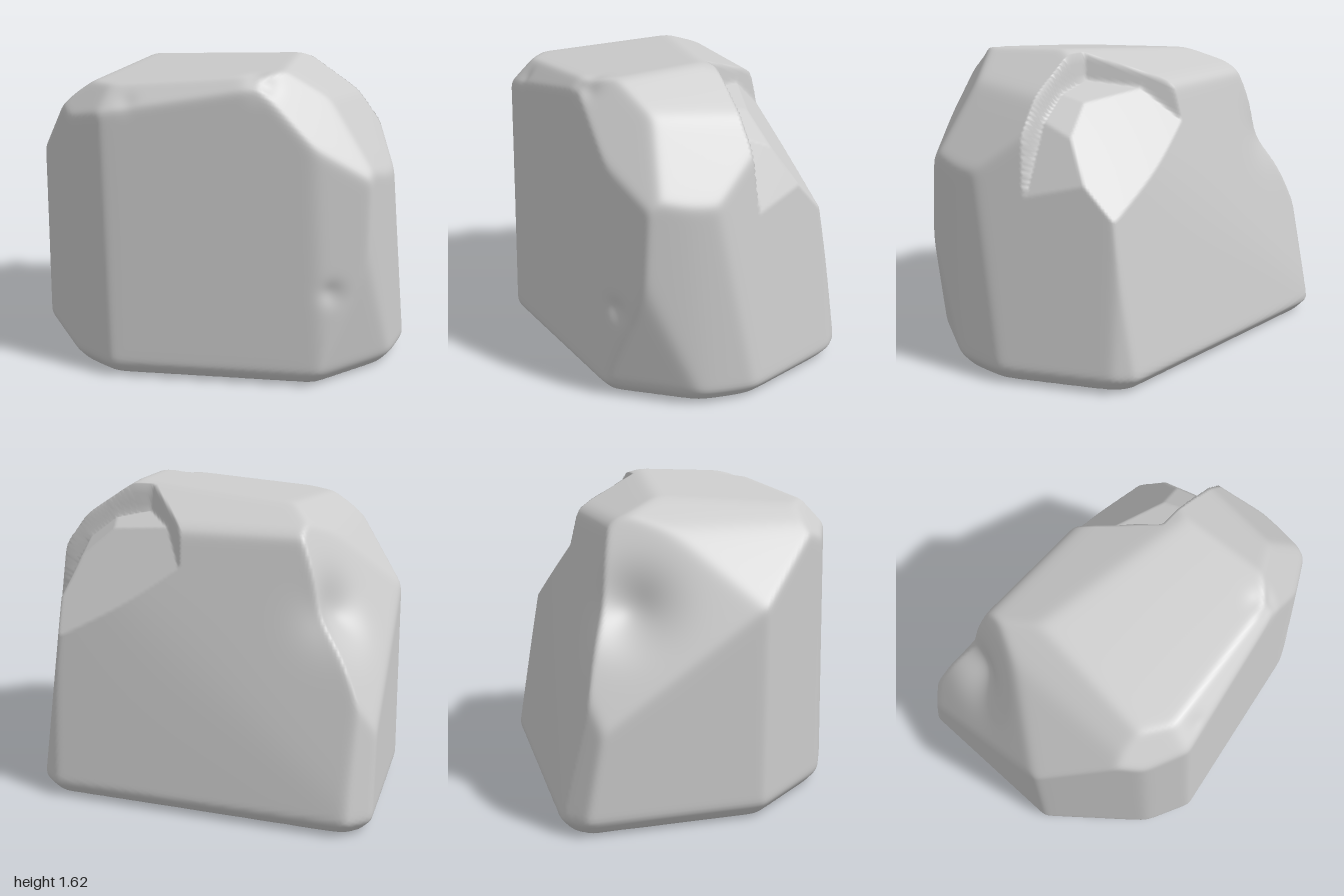
import * as THREE from 'three';
import { mergeVertices } from 'three/addons/utils/BufferGeometryUtils.js';

const CENTRE = new THREE.Vector3(0, 0.75, 0);

// A cutting plane, from its outward normal and a point on it
function plane(nx, ny, nz, px, py, pz) {
  const n = new THREE.Vector3(nx, ny, nz);
  return { n, d: n.dot(new THREE.Vector3(px, py, pz).sub(CENTRE)) };
}

// Distance from the centre to a plane along a direction
function reach(p, dir) {
  const c = p.n.dot(dir);
  return c > 1e-4 ? p.d / c : Infinity;
}

// Side faces, going round from the front
const sides = [
  plane(0.16, 0.035, 1, -0.35, 0.1, 0.795),
  plane(-0.45, 0.01, 0.89, -0.47, 0.1, 0.755),
  plane(-0.77, 0, 0.63, -0.8, 0.1, 0.46),
  plane(-1, 0.01, 0, -1, 0.3, 0),
  plane(-0.65, 0.15, -0.75, -0.95, 0.06, -0.74),
  plane(0, 0.245, -1, -0.6, 0.06, -0.805),
  plane(0.06, 0.165, -1, 0, 0.06, -0.745),
  plane(0.65, 0.1, -0.75, 0.75, 0.06, -0.66),
  plane(0.93, 0.12, -0.37, 0.89, 0.15, -0.35),
  plane(1, 0.035, 0.08, 1, 0.3, 0),
  plane(0.97, 0.02, 0.25, 0.95, 0.3, 0.34),
  plane(0.47, 0.05, 0.88, 0.88, 0.75, 0.495),
  plane(0.8, -0.15, 0.58, 0.79, 0.1, 0.5),
];

// Worn lower edge under every side face
const lowerEdges = sides.map(({ n, d }) => ({
  n: new THREE.Vector3(n.x, -0.9, n.z),
  d: d - (n.y + 0.9) * (0.07 - CENTRE.y),
}));

// Base, top and the sloping shoulders
const caps = [
  plane(0, -1, 0, 0, 0, 0),
  plane(-0.085, 1, 0.06, 0.38, 1.625, 0),
  plane(0, 0.65, 0.7, 0, 1.5, 0.66),
  plane(0, 0.93, -0.36, 0, 1.52, -0.3),
  plane(0, 0.7, -0.7, -0.3, 1.45, -0.45),
  plane(0.82, 0.57, 0.05, 0.95, 1.08, 0.1),
  plane(0.56, 0.83, 0, 0.7, 1.44, 0.1),
  plane(0.6, 0.5, 0.55, 0.62, 1.41, 0.46),
  plane(-0.55, 0.83, 0, -0.6, 1.48, 0.1),
  plane(-0.75, 0.66, 0, -0.85, 1.23, 0.1),
  plane(-0.45, 0.65, 0.6, -0.63, 1.41, 0.59),
  plane(-0.59, 0.3, -0.2, -1, 0.48, -0.65),
];
const faces = [...sides, ...lowerEdges, ...caps];

// Broken-away step at the back of the top: floors bounded by two walls
const walls = [plane(0.8, 0.1, -0.6, 0.12, 1.4, -0.4), plane(0, 0.08, -1, 0, 1.4, -0.1)];
const floors = [
  plane(0.2, 0.9, -0.3, 0.4, 1.4, -0.25),
  plane(0.55, 0.75, -0.35, 0.5, 1.37, -0.27),
  plane(0.85, 0.45, -0.25, 0.8, 1.08, -0.15),
  plane(0.3, 0.6, -0.75, 0.4, 1.06, -0.53),
];

// Chipped hollows: position, radius, depth
const chips = [
  [-0.79, 1.07, -0.43, 0.18, 0.085],
  [0.35, 1.52, 0.55, 0.06, 0.05],
  [0.74, 0.5, 0.58, 0.06, 0.02],
  [-0.3, 1.42, 0.68, 0.05, 0.015],
].map(([x, y, z, radius, depth]) => ({ at: new THREE.Vector3(x, y, z).sub(CENTRE), radius, depth }));

function radius(dir) {
  // Soft minimum of all faces gives slightly worn edges
  const k = 120;
  const dist = faces.map((f) => reach(f, dir));
  const nearest = Math.min(...dist);
  let r = nearest - Math.log(dist.reduce((s, t) => s + Math.exp(-k * (t - nearest)), 0)) / k;

  const wall = Math.max(...walls.map((w) => reach(w, dir)));
  for (const f of floors) r = Math.min(r, Math.max(wall, reach(f, dir)));

  const p = dir.clone().multiplyScalar(r);
  for (const c of chips) r -= c.depth * Math.exp(-p.distanceToSquared(c.at) / (c.radius * c.radius));
  return r;
}

export function createModel() {
  // Sphere pushed in to the cut faces
  let geometry = new THREE.IcosahedronGeometry(1, 75);
  geometry.deleteAttribute('uv');
  geometry.deleteAttribute('normal');
  geometry = mergeVertices(geometry, 1e-5);
  const pos = geometry.attributes.position;
  const dir = new THREE.Vector3();
  for (let i = 0; i < pos.count; i++) {
    dir.fromBufferAttribute(pos, i).normalize();
    dir.multiplyScalar(radius(dir)).add(CENTRE);
    pos.setXYZ(i, dir.x, dir.y, dir.z);
  }
  geometry.computeVertexNormals();

  const boulder = new THREE.Mesh(geometry, new THREE.MeshStandardMaterial({ color: 0xcccccc }));
  boulder.name = 'boulder';
  const group = new THREE.Group();
  group.name = 'rock';
  group.add(boulder);
  return group;
}
